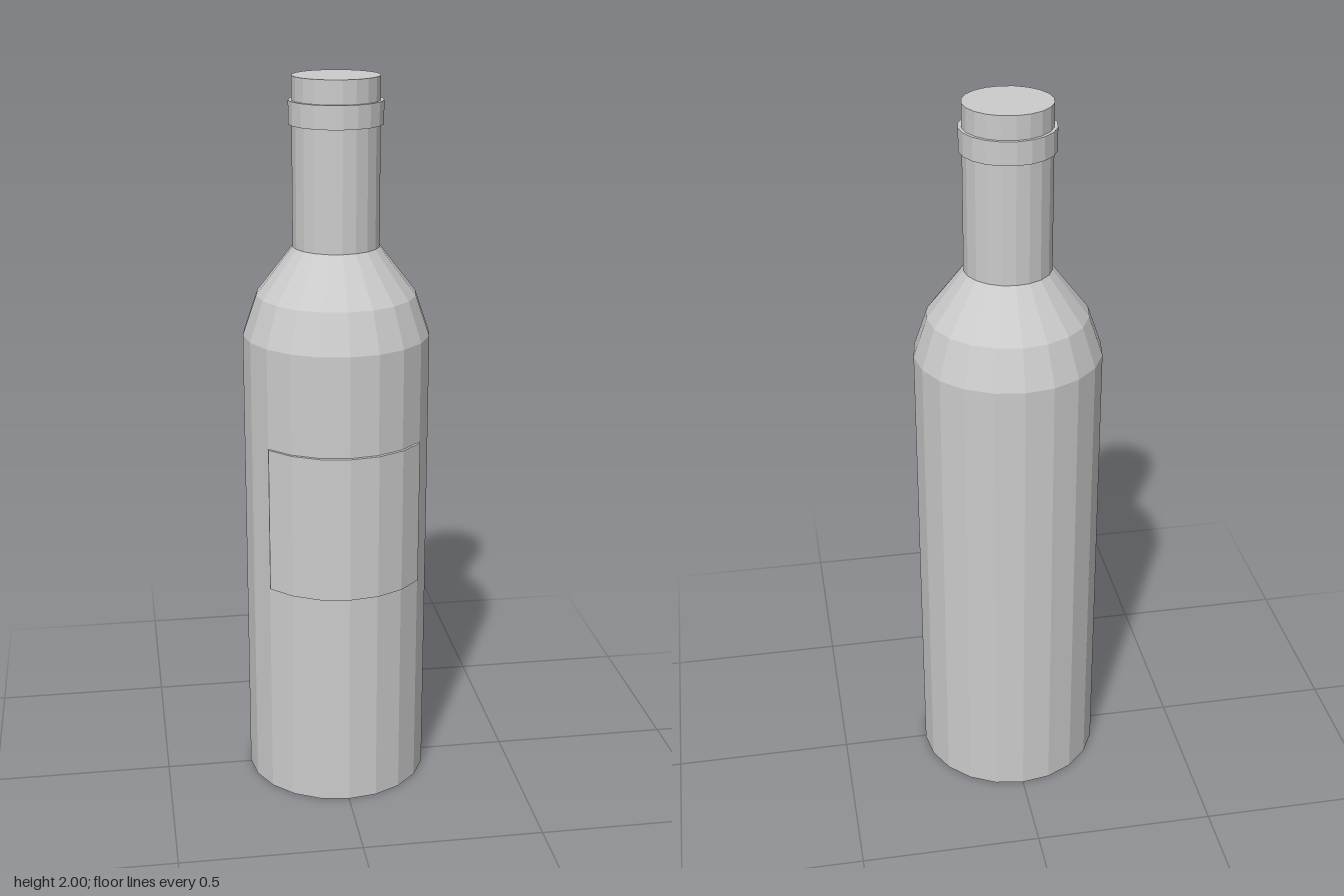
import * as THREE from 'three';

const SIDES = 20;
const BODY_RADIUS = 0.256;

export function createModel() {
  const bottle = new THREE.Group();
  bottle.name = 'bottle';
  const material = new THREE.MeshStandardMaterial({ color: 0xcccccc, flatShading: true });

  const add = (name, geometry) => {
    const mesh = new THREE.Mesh(geometry, material);
    mesh.name = name;
    bottle.add(mesh);
    return mesh;
  };
  // Faceted surface of revolution from [radius, height] pairs, bottom to top
  const lathe = (profile) =>
    new THREE.LatheGeometry(profile.map(([r, y]) => new THREE.Vector2(r, y)), SIDES);

  // Body with its flat base, and the two-step shoulder
  add('body', lathe([[0, 0], [BODY_RADIUS, 0], [BODY_RADIUS, 1.31]]));
  add('shoulder', lathe([[BODY_RADIUS, 1.31], [0.218, 1.42], [0.118, 1.55]]));

  // Neck with a closed top, and the raised ring below it
  add('neck', lathe([[0.118, 1.55], [0.118, 2], [0, 2]]));
  add('neckRing', lathe([[0.118, 1.875], [0.127, 1.875], [0.127, 1.937], [0.118, 1.937]]));

  // Front label: a thin strip following the six front facets, set slightly forward
  const arc = (offset) => Array.from({ length: 7 }, (_, i) => {
    const angle = ((i - 3) * 2 * Math.PI) / SIDES;
    return new THREE.Vector2(
      BODY_RADIUS * Math.sin(angle),
      -(BODY_RADIUS * Math.cos(angle) + offset),
    );
  });
  const outline = new THREE.Shape([...arc(0.01), ...arc(-0.01).reverse()]);
  const label = new THREE.ExtrudeGeometry(outline, { depth: 0.407, bevelEnabled: false });
  label.rotateX(-Math.PI / 2);
  add('label', label).position.y = 0.625;

  // Centre the depth, including the label
  bottle.children.forEach((part) => { part.position.z = -0.005; });
  return bottle;
}
